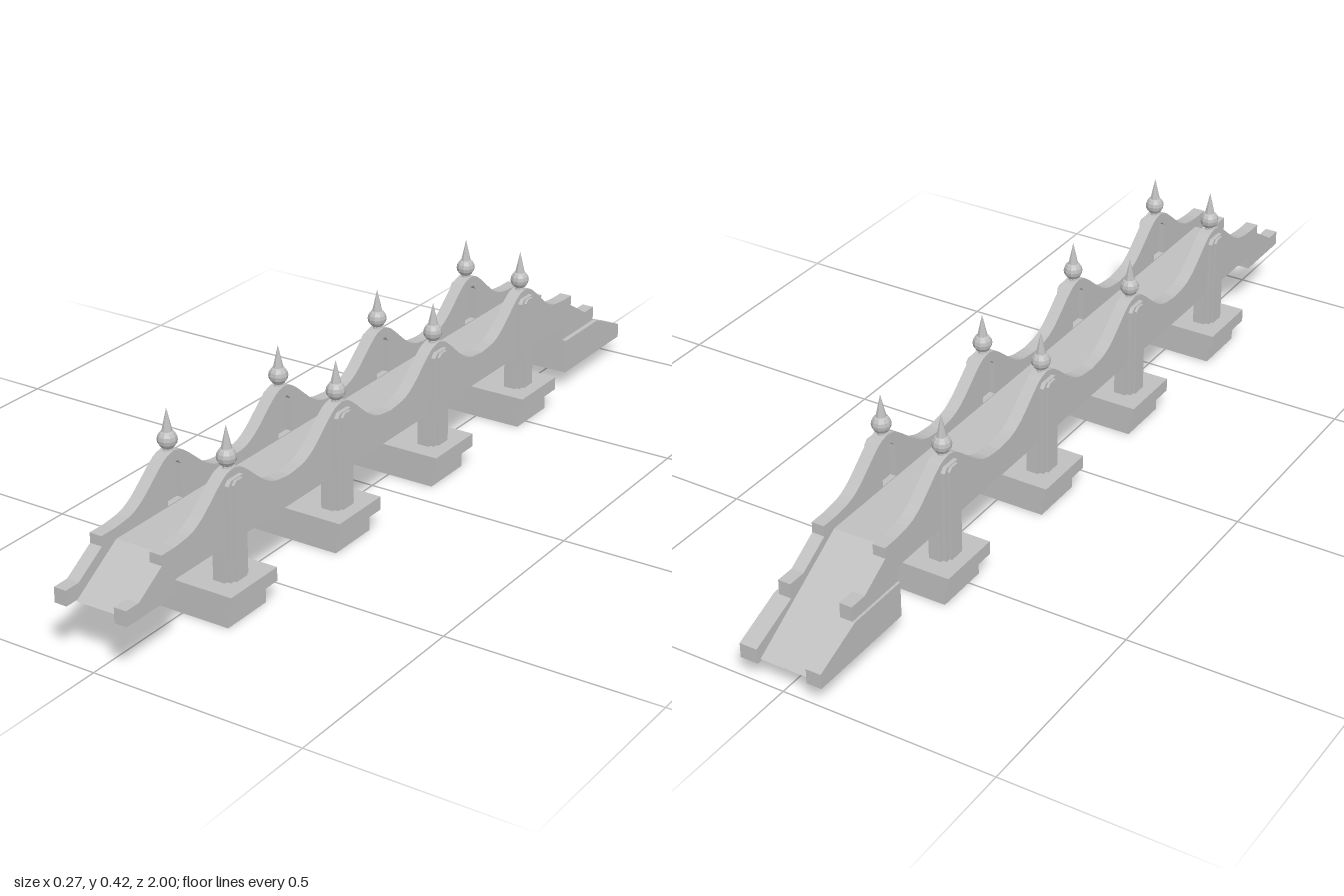
import * as THREE from 'three';

const stone = new THREE.MeshStandardMaterial({ color: 0xbfbfbf });
stone.name = 'stone grey';
stone.flatShading = true;
stone.side = THREE.DoubleSide;

const PIERS = [0.647, 0.256, -0.135, -0.526];

export function createModel() {
  const bridge = new THREE.Group();
  bridge.name = 'bridge';

  const add = (name, geometry, x = 0, y = 0, z = 0, parent = bridge) => {
    const mesh = new THREE.Mesh(geometry, stone);
    mesh.name = name;
    mesh.position.set(x, y, z);
    parent.add(mesh);
    return mesh;
  };

  // Box given by its lower and upper corners
  const block = (name, x0, x1, y0, y1, z0, z1, parent) =>
    add(name, new THREE.BoxGeometry(x1 - x0, y1 - y0, z1 - z0),
      (x0 + x1) / 2, (y0 + y1) / 2, (z0 + z1) / 2, parent);

  // Side profile of [z, y] points, extruded from x0 to x1
  const toPoints = (list) => list.map(([z, y]) => new THREE.Vector2(-z, y));
  const profile = (points, x0, x1, holes = []) => {
    const shape = new THREE.Shape(toPoints(points));
    holes.forEach((h) => shape.holes.push(new THREE.Path(toPoints(h))));
    const g = new THREE.ExtrudeGeometry(shape, { depth: x1 - x0, bevelEnabled: false });
    return g.rotateY(Math.PI / 2).translate(x0, 0, 0);
  };

  // Upright slab outline with chamfered top corners
  const arch = (z, half, y0, y1, c) => [
    [z + half, y0], [z + half, y1 - c], [z + half - c, y1],
    [z - half + c, y1], [z - half, y1 - c], [z - half, y0],
  ];

  // Rail crest: a bell over each pier, level in between
  const bell = new THREE.SplineCurve([
    [0, 0.328], [0.025, 0.322], [0.05, 0.305], [0.08, 0.28],
    [0.11, 0.257], [0.145, 0.241], [0.195, 0.235],
  ].map(([d, y]) => new THREE.Vector2(d, y))).getPoints(14);
  const crest = [];
  PIERS.forEach((z, i) => {
    for (let k = bell.length - (i ? 2 : 1); k >= 0; k--) crest.push([z + bell[k].x, bell[k].y]);
    for (let k = 1; k < bell.length; k++) crest.push([z - bell[k].x, bell[k].y]);
  });
  const railOutline = [
    [0.845, 0.165], [0.845, 0.13], [1, 0.13], [1, 0.165], [0.96, 0.165],
    [0.885, 0.212], [0.885, 0.235], ...crest,
    [-0.76, 0.235], [-0.76, 0.21], [-0.835, 0.165], [-0.88, 0.165],
    [-0.88, 0.13], [-0.72, 0.13], [-0.72, 0.165],
  ];

  // Deck with a short ramp in front and a long ramp behind, hollow below
  add('deck', profile([
    [0.97, 0.128], [0.84, 0.21], [-0.725, 0.21], [-0.99, 0.05], [-0.985, 0.045],
    [-0.735, 0.188], [-0.735, 0.045], [-0.72, 0.045], [-0.72, 0.185],
    [0.845, 0.185], [0.845, 0.128],
  ], -0.06, 0.06));

  for (const s of [1, -1]) {
    const side = s > 0 ? 'left' : 'right';
    const span = (a, b) => (s > 0 ? [a, b] : [-b, -a]);

    // Rails with a recess at each pier, open towards the deck
    add(side + 'Rail', profile(railOutline, ...span(0.06, 0.09),
      PIERS.map((z) => arch(z, 0.024, 0.212, 0.302, 0.012))));

    // Side wall of the long ramp
    add(side + 'RampWall', profile([
      [-0.72, 0.045], [-0.72, 0.13], [-0.88, 0.13], [-1, 0.08], [-1, 0.045],
    ], ...span(0.06, s > 0 ? 0.102 : 0.096)));

    PIERS.forEach((z) => {
      const pillar = new THREE.Group();
      pillar.name = side + 'Pillar';
      bridge.add(pillar);
      // Post below the rail, pilaster and its raised band
      block('post', ...span(0.06, 0.09), 0.082, 0.166, z - 0.037, z + 0.037, pillar);
      add('pilaster', profile(arch(z, 0.03, 0.082, 0.31, 0.01), ...span(0.074, 0.1)), 0, 0, 0, pillar);
      add('pilasterBand', profile(arch(z, 0.019, 0.082, 0.308, 0.008), ...span(0.1, 0.106)), 0, 0, 0, pillar);
      // Finial
      add('finialNeck', new THREE.CylinderGeometry(0.009, 0.012, 0.016, 8), s * 0.075, 0.327, z, pillar);
      add('finialBall', new THREE.SphereGeometry(0.022, 10, 8), s * 0.075, 0.351, z, pillar);
      add('finialSpire', new THREE.ConeGeometry(0.012, 0.053, 8), s * 0.075, 0.3945, z, pillar);
    });
  }

  // Pier footings: a slab on an open-bottomed plinth
  PIERS.forEach((z) => {
    block('footingSlab', -0.137, 0.137, 0.05, 0.082, z - 0.08, z + 0.08);
    const plinth = new THREE.CylinderGeometry(Math.SQRT1_2, Math.SQRT1_2, 0.05, 4, 1, true)
      .rotateY(Math.PI / 4).scale(0.234, 1, 0.132);
    add('plinth', plinth, 0, 0.025, z);
  });

  return bridge;
}
